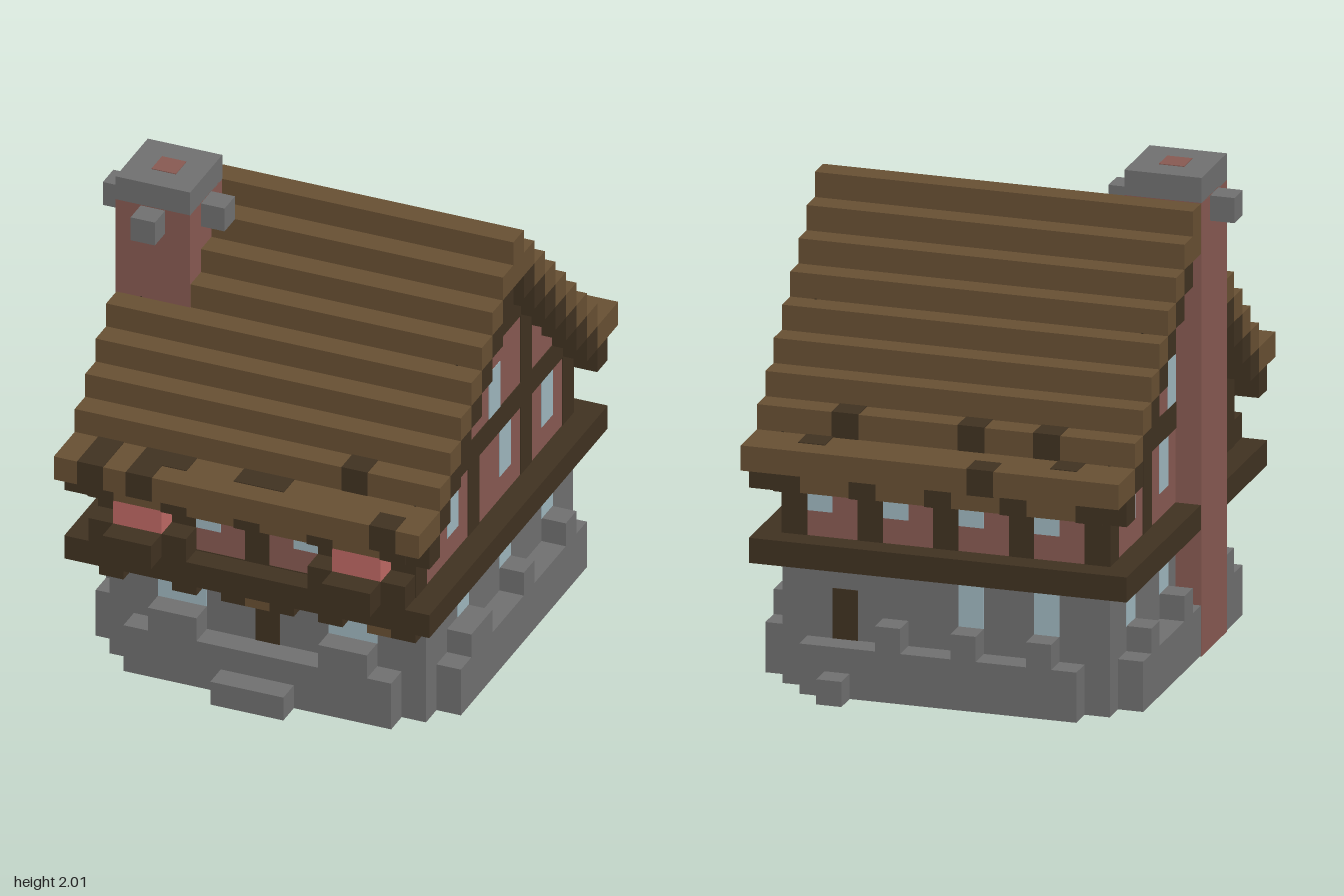
import * as THREE from 'three';

const U = 2 / 19; // one block
const E = 0.03;   // how far painted plates stand proud, in blocks

const mat = (name, color) => {
  const m = new THREE.MeshStandardMaterial({ color });
  m.name = name;
  return m;
};

export function createModel() {
  const stone = mat('stone', 0x707070);
  const plaster = mat('redPlaster', 0x885a52);
  const timber = mat('darkTimber', 0x403221);
  const thatch = mat('brownRoof', 0x685033);
  const glass = mat('paleGlass', 0x9fb7bf);
  const bloom = mat('pinkFlowers', 0xbf6964);

  const model = new THREE.Group();
  model.name = 'cottage';

  // Block-grid box: x counts from the model's right, y from the ground, z from the front backwards.
  function box(name, material, x0, x1, y0, y1, z0, z1, grow = 0) {
    const g = 2 * grow;
    const geo = new THREE.BoxGeometry((x1 - x0 + g) * U, (y1 - y0 + g) * U, (z1 - z0 + g) * U);
    const mesh = new THREE.Mesh(geo, material);
    mesh.name = name;
    mesh.position.set(((x0 + x1) / 2 - 8) * U, ((y0 + y1) / 2) * U, (9.5 - (z0 + z1) / 2) * U);
    model.add(mesh);
  }
  // Thin plates on the two gable sides, and on a front or back face
  const sidePlate = (name, m, y0, y1, z0, z1, grow = E) => {
    box(name, m, 15 - E, 15, y0, y1, z0, z1, grow);
    box(name, m, 2, 2 + E, y0, y1, z0, z1, grow);
  };
  const facePlate = (name, m, x0, x1, y0, y1, z) => box(name, m, x0, x1, y0, y1, z - E, z + E);

  // Walls
  box('groundFloor', stone, 2, 15, 0, 5, 3, 17);
  box('upperFloor', plaster, 2, 15, 5, 10, 2, 17);
  for (let j = 10; j <= 16; j++) box('gableWall', plaster, 2, 15, j, j + 1, j - 7, 26 - j);

  // Stone plinth with raised blocks below the windows
  box('frontPlinth', stone, 3, 14, 0, 2, 2, 3);
  box('backPlinth', stone, 3, 14, 0, 2, 17, 18);
  box('doorStep', stone, 7, 10, 0, 1, 1, 2);
  box('backStep', stone, 12, 13, 0, 1, 18, 19);
  for (const x of [4, 11]) box('frontPlinthBlock', stone, x, x + 2, 2, 3, 2, 3);
  for (const x of [4, 7, 10]) box('backPlinthBlock', stone, x, x + 1, 2, 3, 17, 18);
  for (const x of [1, 15]) {
    box('sidePlinth', stone, x, x + 1, 0, 2, 4, 16);
    for (const [a, b] of [[5, 7], [10, 11], [14, 15]]) box('sidePlinthBlock', stone, x, x + 1, 2, 3, a, b);
  }

  // Floor beam running all round
  for (const x of [1, 15]) box('sideBeam', timber, x, x + 1, 5, 6, 2, 17);
  box('frontBeam', timber, 1, 16, 5, 6, 1, 2);
  box('frontSill', timber, 2, 15, 5, 6, 2, 3, E);
  box('backBeam', timber, 1, 16, 5, 6, 17, 18);

  // Gable framing
  for (const [a, b] of [[2, 3], [7, 8], [12, 13], [16, 17]]) sidePlate('sidePost', timber, 6, 9, a, b);
  for (const z of [6, 12]) sidePlate('atticPost', timber, 10, 13, z, z + 1);
  sidePlate('eavesBeam', timber, 9, 10, 2, 17);
  sidePlate('collarBeam', timber, 13, 14, 6, 13);

  // Gable windows
  for (const z of [6, 10, 14]) sidePlate('lowerSideWindow', glass, 3, 5, z, z + 1, E * 0.8);
  for (const z of [5, 10, 14]) sidePlate('upperSideWindow', glass, 7, 9, z, z + 1, E * 0.8);
  sidePlate('atticWindow', glass, 10, 12, 9, 10, E * 0.8);

  // Front and back posts with rafter ends
  for (const x of [2, 5, 8, 11, 14]) {
    facePlate('frontPost', timber, x, x + 1, 6, 9, 2);
    facePlate('backPost', timber, x, x + 1, 6, 9, 17);
    if (x !== 8) box('frontBracket', timber, x, x + 1, 4, 5, 2, 3);
    for (const z of [1, 17]) box('rafterEnd', timber, x, x + 1, 8, 9, z, z + 1, E);
  }
  for (const x of [7, 9]) box('doorBracket', timber, x, x + 1, 4, 5, 2, 3);
  for (const x of [8, 13]) box('hangingLamp', thatch, x, x + 1, 4, 5, 2, 3);

  // Front windows and doors
  for (const x of [4, 11]) facePlate('lowerFrontWindow', glass, x, x + 2, 3, 5, 3);
  for (const x of [6, 10]) facePlate('upperFrontWindow', glass, x, x + 1, 7, 9, 2);
  facePlate('frontDoor', timber, 8, 9, 2, 4, 3);
  facePlate('backDoor', timber, 12, 13, 2, 4, 17);
  for (const x of [4, 7]) facePlate('lowerBackWindow', glass, x, x + 1, 3, 5, 17);
  for (const x of [4, 7, 10, 13]) facePlate('upperBackWindow', glass, x, x + 1, 7, 9, 17);

  // Flower boxes
  for (const x of [3, 12]) {
    box('flowerBox', timber, x - 1, x + 3, 6, 7, 1, 2);
    box('flowerBoxFront', timber, x, x + 2, 6, 7, 0, 1);
    box('flowers', bloom, x, x + 2, 7, 8, 1, 2);
  }

  // Stepped roof, eaves and barge boards, mirrored front to back
  const bothSlopes = (name, m, x0, x1, y, z0, z1) => {
    box(name, m, x0, x1, y, y + 1, z0, z1);
    box(name, m, x0, x1, y, y + 1, 19 - z1, 19 - z0);
  };
  bothSlopes('eaves', thatch, 1, 16, 9, 0, 2);
  bothSlopes('eavesLining', thatch, 2, 15, 8, 1, 2);
  for (let j = 10; j <= 16; j++) bothSlopes('roofStep', thatch, 1, 16, j, j - 8, j - 7);
  box('roofFill', thatch, 1, 16, 16, 17, 9, 10);
  box('roofRidge', thatch, 1, 16, 17, 18, 9, 10);
  for (const x of [1, 15]) {
    for (let j = 8; j <= 15; j++) bothSlopes('bargeBoard', timber, x, x + 1, j, j - 7, j - 6);
  }

  // Dark patches on the roof: x0, x1, y, z0, z1
  const patches = [
    [6, 7, 9, 18, 19], [3, 4, 9, 17, 18], [13, 14, 9, 17, 18],
    [4, 5, 10, 16, 17], [7, 8, 10, 16, 17], [12, 13, 10, 16, 17],
    [12, 13, 10, 2, 3], [2, 3, 9, 0, 2], [4, 6, 9, 1, 2],
    [4, 5, 9, 0, 1], [8, 10, 9, 1, 2], [14, 15, 9, 0, 1],
  ];
  for (const [x0, x1, y, z0, z1] of patches) box('roofPatch', timber, x0, x1, y, y + 1, z0, z1, E);

  // Chimney: outer stack, shaft above the roof, cap and small stones
  box('chimneyStack', plaster, 1, 2, 0, 14, 6, 9, E);
  box('chimneyShaft', plaster, 1, 4, 14, 18, 6, 9, E);
  box('chimneyCap', stone, 1, 4, 18, 19, 6, 9, E);
  box('chimneyFlue', plaster, 2, 3, 19, 19 + 2 * E, 7, 8);
  box('chimneyStone', stone, 0, 1, 17, 18, 7, 8);
  box('chimneyStone', stone, 4, 5, 17, 18, 7, 8);
  box('chimneyStone', stone, 2, 3, 17, 18, 5, 6);

  return model;
}
